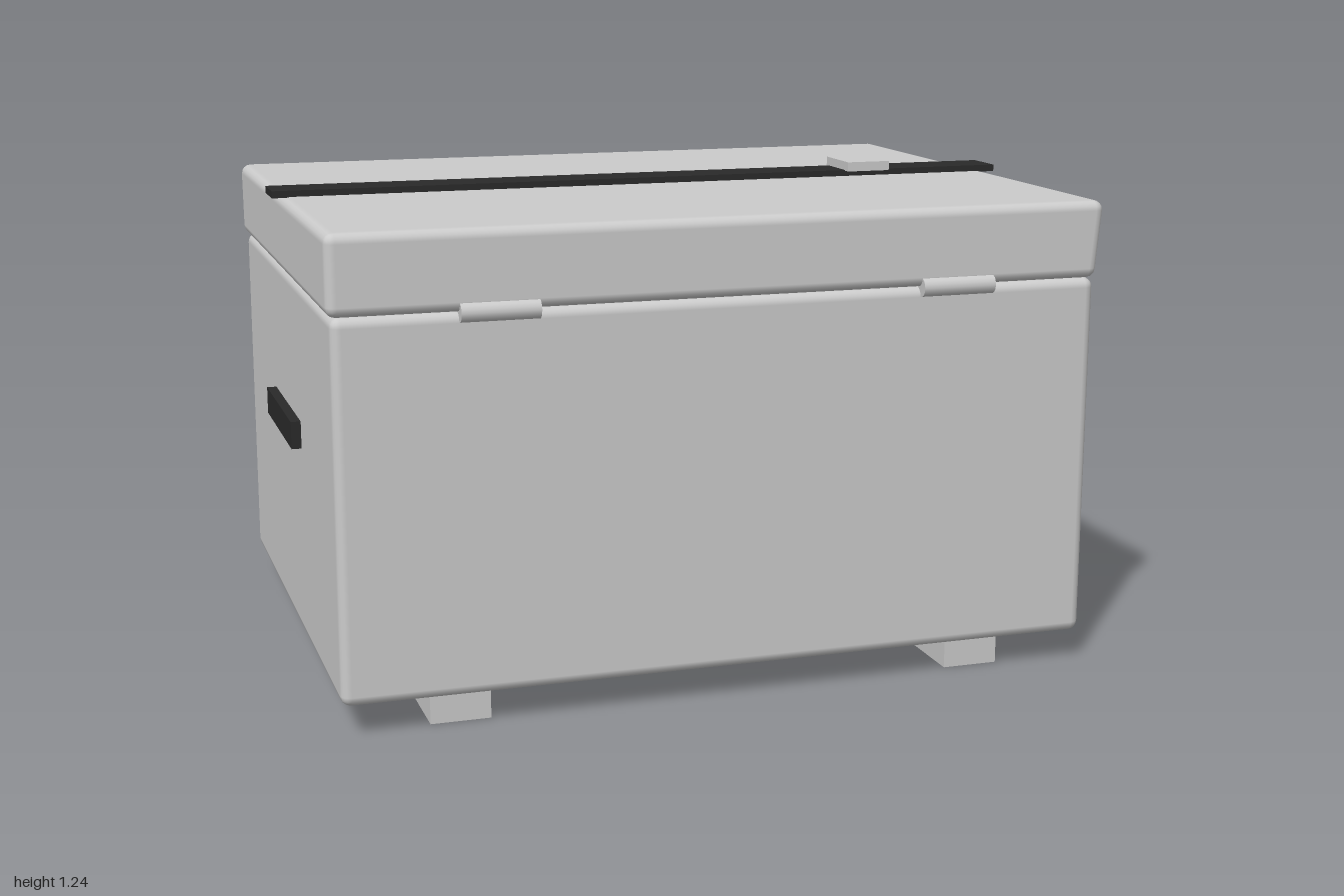
import * as THREE from 'three';
import { RoundedBoxGeometry } from 'three/addons/geometries/RoundedBoxGeometry.js';

const grey = new THREE.MeshStandardMaterial({ color: 0xcccccc });
const dark = new THREE.MeshStandardMaterial({ color: 0x2a2a2a });

export function createModel() {
  const group = new THREE.Group();

  const add = (name, geometry, material, x = 0, y = 0, z = 0) => {
    const mesh = new THREE.Mesh(geometry, material);
    mesh.name = name;
    mesh.position.set(x, y, z);
    group.add(mesh);
    return mesh;
  };

  // Box given by its [min, max] extents on each axis; optional edge radius
  const block = (name, [x0, x1], [y0, y1], [z0, z1], material = grey, radius = 0) => {
    const size = [x1 - x0, y1 - y0, z1 - z0];
    const geometry = radius
      ? new RoundedBoxGeometry(...size, 2, radius)
      : new THREE.BoxGeometry(...size);
    return add(name, geometry, material, (x0 + x1) / 2, (y0 + y1) / 2, (z0 + z1) / 2);
  };

  // Case body and lid
  block('body', [-0.97, 0.96], [0.08, 1.01], [-0.715, 0.73], grey, 0.025);
  const lid = block('lid', [-0.98, 0.975], [1.01, 1.205], [-0.727, 0.74], grey, 0.025);

  // The lid draws in slightly toward its lower left and back edges
  const p = lid.geometry.attributes.position;
  for (let i = 0; i < p.count; i++) {
    const t = Math.min(1, Math.max(0, (0.07 - p.getY(i)) / 0.14));
    if (p.getX(i) > 0.9) p.setX(i, p.getX(i) - 0.013 * t);
    if (p.getZ(i) < -0.65) p.setZ(i, p.getZ(i) + 0.013 * t);
  }
  lid.geometry.computeBoundingSphere();

  // Strap across the lid with its buckle
  block('strap', [-1, 1], [1.203, 1.221], [-0.055, 0.063], dark);
  block('buckle', [0.555, 0.675], [1.219, 1.244], [-0.07, 0.083]);

  // Runners under the body
  block('rightRunner', [-0.75, -0.6], [0, 0.09], [-0.67, 0.68]);
  block('leftRunner', [0.6, 0.745], [0, 0.09], [-0.67, 0.68]);

  // Side handles
  block('rightHandle', [-0.995, -0.95], [0.59, 0.66], [-0.21, 0.22], dark);
  block('leftHandle', [0.94, 0.99], [0.59, 0.66], [-0.21, 0.22], dark);

  // Hinge barrels along the front seam
  for (const x of [-0.577, 0.577]) {
    const hinge = add('hinge', new THREE.CylinderGeometry(0.024, 0.024, 0.19, 16), grey, x, 1.01, 0.732);
    hinge.rotation.z = Math.PI / 2;
  }

  // Back fittings: dark panel, latch and ring
  block('backPanel', [-0.79, 0.09], [0.37, 0.66], [-0.724, -0.7], dark);
  block('latch', [0.56, 0.592], [0.67, 0.74], [-0.757, -0.7]);
  add('ring', new THREE.TorusGeometry(0.026, 0.008, 8, 24), grey, 0.577, 0.455, -0.716);

  return group;
}
